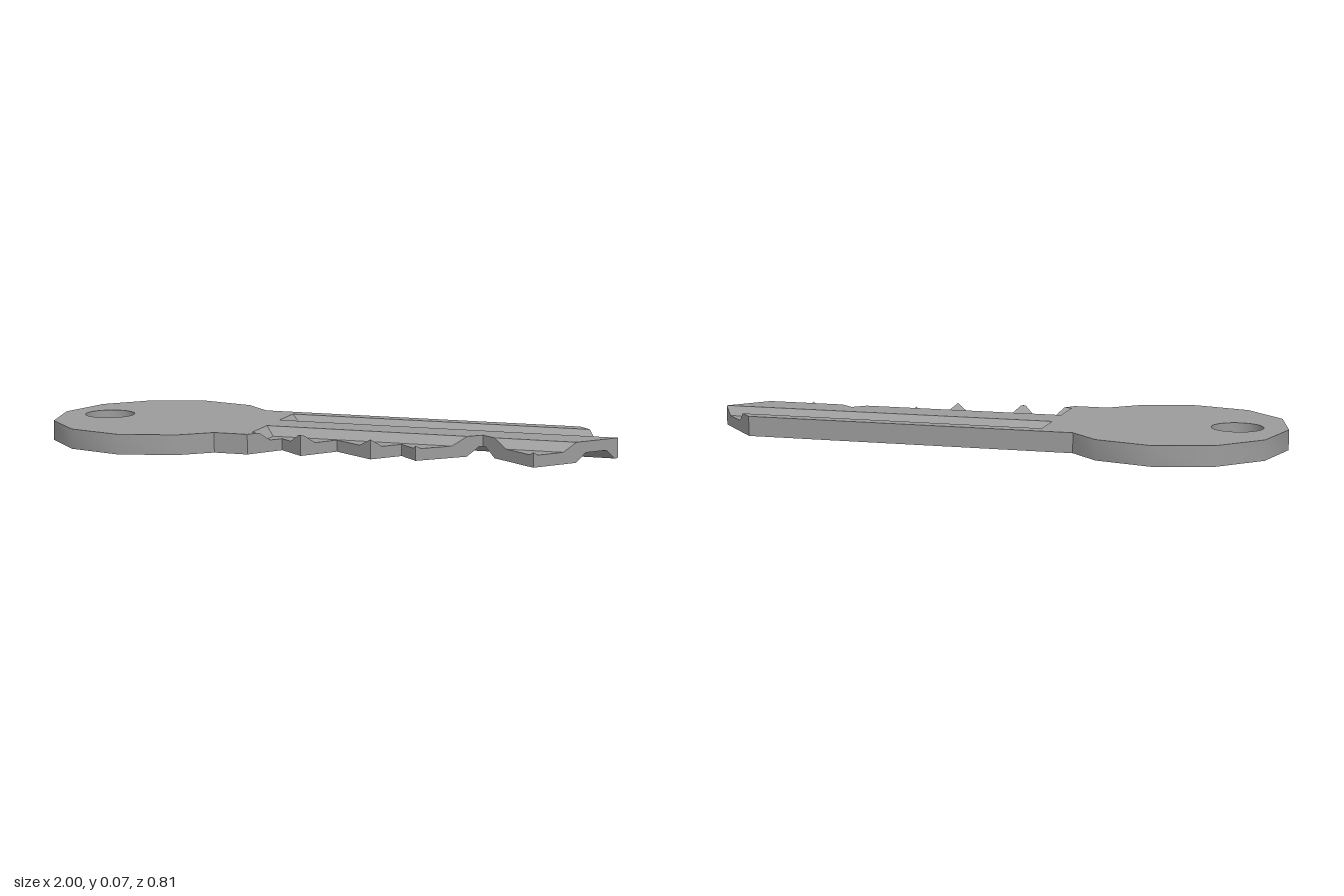
import * as THREE from 'three';
import { toCreasedNormals } from 'three/addons/utils/BufferGeometryUtils.js';

const T = 0.069;        // thickness
const JOIN = -0.2;      // where the head ends and the blade starts
const RAMP = 0.037;     // length of the sloped groove ends

// Outlines as [x, z]
const headOutline = [
  [JOIN, -0.25], [-0.32, -0.25], [-0.42, -0.35], [-0.615, -0.403], [-0.81, -0.35], [-0.95, -0.205], [-1, 0],
  [-0.95, 0.205], [-0.81, 0.35], [-0.615, 0.402], [-0.42, 0.35], [-0.32, 0.265], [JOIN, 0.265],
];
const backEdge = [[JOIN, -0.25], [0.835, -0.25], [1, -0.06]];
const toothEdge = [
  [JOIN, 0.265], [-0.117, 0.148], [-0.02, 0.235], [0.07, 0.117], [0.222, 0.223], [0.303, 0.129],
  [0.372, 0.202], [0.559, 0.031], [0.77, 0.202], [1, -0.06],
];

// Grooves: z of rim, floor, floor, rim; floor height; start in x
const topGrooves = [
  { z: [-0.2, -0.174, -0.092, -0.06], y: 0.039, start: JOIN },
  { z: [0.071, 0.111, 0.188, 0.225], y: 0.04, start: JOIN },
];
const bottomGrooves = [{ z: [-0.05, -0.024, 0.041, 0.072], y: 0.031, start: -0.12 }];

const lerp = THREE.MathUtils.lerp;

// Value at u on a polyline of [u, v] points
function sample(line, u) {
  for (let i = 1; i < line.length; i++) {
    const [u0, v0] = line[i - 1], [u1, v1] = line[i];
    if (u <= u1) return u1 - u0 < 1e-9 ? v1 : lerp(v0, v1, (u - u0) / (u1 - u0));
  }
  return line[line.length - 1][1];
}

// One face of the blade at x as [z, y] points, trimmed to the outline
function faceProfile(grooves, base, x, zMin, zMax) {
  const line = [[-1, base]];
  for (const g of grooves) {
    const t = THREE.MathUtils.clamp((x - g.start) / RAMP, 0, 1);
    const [a, b, c, d] = g.z, y = lerp(base, g.y, t);
    line.push([a, base], [lerp(a, b, t), y], [lerp(d, c, t), y], [d, base]);
  }
  line.push([1, base]);
  return line.map(([z]) => {
    const zc = THREE.MathUtils.clamp(z, zMin, zMax);
    return [zc, sample(line, zc)];
  });
}

// Stations: outline corners, groove ends, and crossings of outline and groove lines
function bladeStations() {
  const xs = [...backEdge, ...toothEdge].map(p => p[0]);
  const levels = [...topGrooves, ...bottomGrooves].flatMap(g => {
    xs.push(g.start, g.start + RAMP);
    return g.z;
  });
  for (const edge of [backEdge, toothEdge])
    for (let i = 1; i < edge.length; i++)
      for (const z of levels) {
        const [x0, z0] = edge[i - 1], [x1, z1] = edge[i];
        if ((z0 - z) * (z1 - z) < 0) xs.push(lerp(x0, x1, (z - z0) / (z1 - z0)));
      }
  xs.sort((a, b) => a - b);
  return xs.filter((x, i) => i === 0 || x - xs[i - 1] > 1e-6);
}

function bladeGeometry() {
  const rings = bladeStations().map(x => {
    const zMin = sample(backEdge, x), zMax = sample(toothEdge, x);
    const top = faceProfile(topGrooves, T, x, zMin, zMax);
    const bottom = faceProfile(bottomGrooves, 0, x, zMin, zMax).reverse();
    return [...top, ...bottom].map(([z, y]) => new THREE.Vector3(x, y, z));
  });
  const pos = [];
  const tri = (a, b, c) => {
    const area = b.clone().sub(a).cross(c.clone().sub(a)).length();
    if (area > 1e-9) for (const p of [a, b, c]) pos.push(p.x, p.y, p.z);
  };
  for (let i = 0; i < rings.length - 1; i++) {
    const r = rings[i], s = rings[i + 1], n = r.length;
    for (let j = 0; j < n; j++) {
      const k = (j + 1) % n;
      tri(r[j], r[k], s[k]);
      tri(r[j], s[k], s[j]);
    }
  }
  const geo = new THREE.BufferGeometry();
  geo.setAttribute('position', new THREE.Float32BufferAttribute(pos, 3));
  geo.computeVertexNormals();
  return geo;
}

function headGeometry() {
  const shape = new THREE.Shape(headOutline.map(([x, z]) => new THREE.Vector2(x, -z)));
  const hole = new THREE.Path();
  hole.absarc(-0.827, 0, 0.088, 0, Math.PI * 2, true);
  shape.holes.push(hole);
  const solid = new THREE.ExtrudeGeometry(shape, { depth: T, bevelEnabled: false, curveSegments: 16 });
  solid.rotateX(-Math.PI / 2);

  // Leave out the wall hidden inside the joint with the blade
  const src = solid.attributes.position.array;
  const pos = [];
  for (let i = 0; i < src.length; i += 9) {
    if (Math.min(src[i], src[i + 3], src[i + 6]) < JOIN - 1e-4) pos.push(...src.slice(i, i + 9));
  }
  const geo = new THREE.BufferGeometry();
  geo.setAttribute('position', new THREE.Float32BufferAttribute(pos, 3));
  // The round rim shades smoothly; the neck corners and flat faces stay sharp
  return toCreasedNormals(geo, 0.65);
}

export function createModel() {
  const group = new THREE.Group();
  group.name = 'key';
  const material = new THREE.MeshStandardMaterial({ color: 0x9c9c9c });

  // Round head with the ring hole
  const head = new THREE.Mesh(headGeometry(), material);
  head.name = 'head';

  // Toothed blade with grooves above and below
  const blade = new THREE.Mesh(bladeGeometry(), material);
  blade.name = 'blade';

  group.add(head, blade);
  return group;
}
